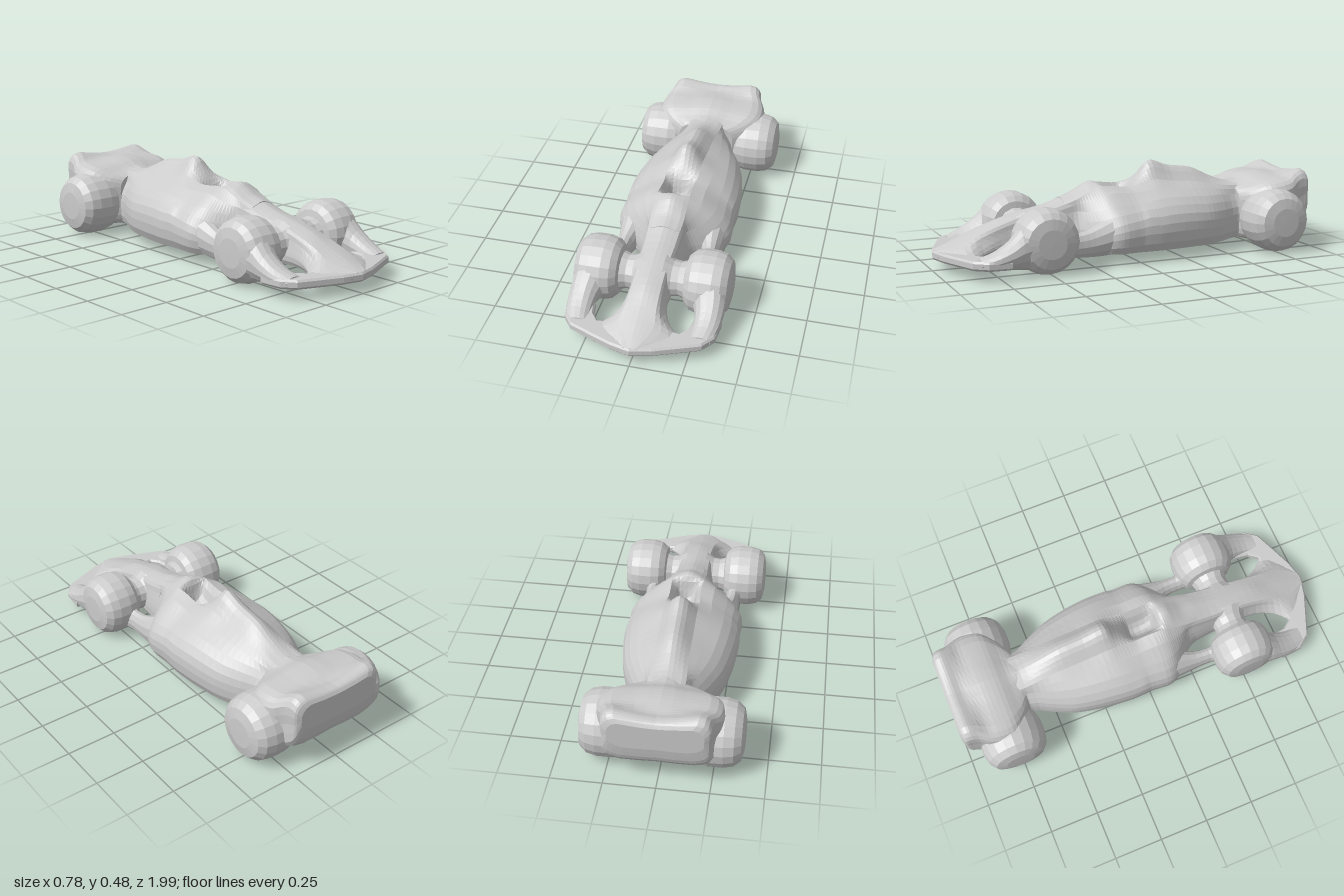
import * as THREE from 'three';

const material = new THREE.MeshStandardMaterial({ color: 0xcccccc, flatShading: true });

function addMesh(parent, name, geometry) {
  const mesh = new THREE.Mesh(geometry, material);
  mesh.name = name;
  parent.add(mesh);
  return mesh;
}

// Smooth closed skin through rings of points, ordered from +z to -z
function loft(rings, around, along) {
  const fine = rings.map((r) => {
    const curve = new THREE.CatmullRomCurve3(r, true);
    return Array.from({ length: around }, (_, j) => curve.getPoint(j / around));
  });
  const columns = Array.from({ length: around }, (_, j) =>
    new THREE.CatmullRomCurve3(fine.map((r) => r[j])));
  const pos = [], index = [];
  for (let i = 0; i <= along; i++)
    for (const c of columns) pos.push(...c.getPoint(i / along).toArray());
  for (let i = 0; i < along; i++)
    for (let j = 0; j < around; j++) {
      const k = (j + 1) % around;
      const a = i * around + j, b = i * around + k;
      index.push(a, a + around, b, b, a + around, b + around);
    }
  // End caps
  for (const end of [0, along]) {
    const mid = new THREE.Vector3();
    columns.forEach((c) => mid.addScaledVector(c.getPoint(end / along), 1 / around));
    const m = pos.length / 3;
    pos.push(mid.x, mid.y, mid.z);
    for (let j = 0; j < around; j++) {
      const a = end * around + j, b = end * around + (j + 1) % around;
      if (end === 0) index.push(m, a, b);
      else index.push(m, b, a);
    }
  }
  const g = new THREE.BufferGeometry();
  g.setAttribute('position', new THREE.Float32BufferAttribute(pos, 3));
  g.setIndex(index);
  g.computeVertexNormals();
  return g;
}

// Full ring from the right-hand half points plus bottom and top centres
function mirrorRing(z, y0, half, yTop) {
  const left = half.map(([x, y]) => new THREE.Vector3(x, y, z));
  const right = half.map(([x, y]) => new THREE.Vector3(-x, y, z)).reverse();
  return [new THREE.Vector3(0, y0, z), ...left, new THREE.Vector3(0, yTop, z), ...right];
}

// Body section: bottom, half width, side height, shoulder height, ridge half width, ridge height, centre height
function bodyRing([z, y0, w, side, shoulder, r, yr, yc]) {
  return mirrorRing(z, y0, [[w * 0.55, y0], [w * 0.9, y0 + 0.01], [w, (y0 + side) / 2 + 0.01], [w * 0.95, side],
    [Math.max(w * 0.72, r * 1.1), shoulder], [r, yr], [r * 0.5, yr + (yc - yr) * 0.65]], yc);
}

// Tail section: half width, bottom, top at the ends, top at the centre
function tailRing([z, w, y0, y1, yc]) {
  return mirrorRing(z, y0, [[w * 0.75, y0], [w * 0.98, y0 + 0.03], [w, (y0 + y1) / 2],
    [w, y1 - 0.04], [w * 0.85, y1], [w * 0.45, (y1 + yc) / 2]], yc);
}

// Rounded bar section: z, centre x, centre y, half width, half height
function barRing([z, cx, cy, hw, hh], s) {
  return Array.from({ length: 8 }, (_, i) => {
    const a = (i / 8) * Math.PI * 2 + Math.PI / 8;
    return new THREE.Vector3(s * cx + Math.cos(a) * hw * 1.05, cy + Math.sin(a) * hh * 1.05, z);
  });
}

// Fat tyre with rounded shoulders, axis along x
function wheelGeometry(radius, width) {
  const h = width / 2;
  const profile = [[0, -h], [0.45, -h * 0.99], [0.76, -h * 0.9], [0.93, -h * 0.65], [1, -h * 0.28],
    [1, h * 0.28], [0.93, h * 0.65], [0.76, h * 0.9], [0.45, h * 0.99], [0, h]]
    .map(([r, y]) => new THREE.Vector2(r * radius, y));
  return new THREE.LatheGeometry(profile, 20).rotateZ(-Math.PI / 2);
}

export function createModel() {
  const car = new THREE.Group();
  car.name = 'racingCar';

  // Main body with side pods, cockpit opening and engine cover
  const body = [
    [0.34, 0.045, 0.11, 0.17, 0.25, 0.08, 0.29, 0.32],
    [0.275, 0.045, 0.14, 0.17, 0.255, 0.085, 0.315, 0.34],
    [0.23, 0.045, 0.195, 0.165, 0.255, 0.085, 0.335, 0.365],
    [0.185, 0.045, 0.25, 0.175, 0.265, 0.085, 0.355, 0.39],
    [0.145, 0.045, 0.28, 0.19, 0.28, 0.085, 0.37, 0.385],
    [0.10, 0.045, 0.295, 0.205, 0.285, 0.08, 0.37, 0.26],
    [0.00, 0.045, 0.29, 0.22, 0.29, 0.08, 0.36, 0.24],
    [-0.04, 0.045, 0.293, 0.23, 0.295, 0.085, 0.365, 0.34],
    [-0.10, 0.045, 0.295, 0.23, 0.305, 0.085, 0.38, 0.42],
    [-0.155, 0.045, 0.292, 0.235, 0.31, 0.085, 0.39, 0.48],
    [-0.26, 0.045, 0.28, 0.235, 0.31, 0.085, 0.375, 0.45],
    [-0.40, 0.045, 0.25, 0.225, 0.30, 0.085, 0.365, 0.43],
    [-0.50, 0.045, 0.205, 0.22, 0.295, 0.085, 0.345, 0.385],
    [-0.60, 0.05, 0.155, 0.22, 0.285, 0.09, 0.33, 0.35],
    [-0.72, 0.06, 0.15, 0.22, 0.28, 0.09, 0.33, 0.35],
  ];
  addMesh(car, 'body', loft(body.map(bodyRing), 32, 46));

  // Nose sloping down onto the front wing
  const nose = [
    [0.985, 0.06, 0.06, 0.075, 0.09, 0.03, 0.10, 0.10],
    [0.87, 0.05, 0.21, 0.08, 0.105, 0.09, 0.13, 0.145],
    [0.78, 0.055, 0.14, 0.10, 0.14, 0.08, 0.17, 0.18],
    [0.68, 0.06, 0.10, 0.13, 0.175, 0.075, 0.205, 0.225],
    [0.55, 0.06, 0.10, 0.15, 0.21, 0.075, 0.245, 0.26],
    [0.42, 0.05, 0.105, 0.17, 0.23, 0.08, 0.265, 0.29],
    [0.30, 0.045, 0.12, 0.18, 0.26, 0.085, 0.30, 0.33],
  ];
  addMesh(car, 'nose', loft(nose.map(bodyRing), 26, 18));

  // Front wing, bowed forward with arms reaching back
  const edge = [[0.1, 0.965], [0.2, 0.925], [0.31, 0.88], [0.355, 0.82], [0.365, 0.72], [0.25, 0.72],
    [0.238, 0.79], [0.2, 0.84], [0.15, 0.835], [0.1, 0.75]];
  const outline = [[0, 0.99], ...edge, ...edge.map(([x, z]) => [-x, z]).reverse()]
    .map(([x, z]) => new THREE.Vector2(x, z));
  const wing = new THREE.ExtrudeGeometry(new THREE.Shape(outline),
    { depth: 0.025, bevelThickness: 0.01, bevelSize: 0.008, bevelSegments: 1 });
  wing.rotateX(Math.PI / 2).translate(0, 0.09, 0);
  addMesh(car, 'frontWing', wing);

  for (const s of [1, -1]) {
    const side = s > 0 ? 'left' : 'right';

    const front = addMesh(car, side + 'FrontWheel', wheelGeometry(0.16, 0.23));
    front.position.set(s * 0.27, 0.16, 0.515);
    const rear = addMesh(car, side + 'RearWheel', wheelGeometry(0.165, 0.26));
    rear.position.set(s * 0.26, 0.165, -0.762);

    // Low wing end swelling back into the front wheel
    const plate = [[0.85, 0.295, 0.08, 0.05, 0.025], [0.78, 0.308, 0.09, 0.058, 0.042],
      [0.7, 0.308, 0.115, 0.066, 0.068], [0.64, 0.295, 0.14, 0.08, 0.1], [0.56, 0.28, 0.15, 0.09, 0.12]];
    addMesh(car, side + 'WingEnd', loft(plate.map((p) => barRing(p, s)), 14, 10));

    // Link between side pod and front wheel, blended into both
    const link = [[0.46, 0.24, 0.13, 0.07, 0.09], [0.37, 0.222, 0.11, 0.037, 0.06],
      [0.28, 0.218, 0.112, 0.038, 0.065], [0.21, 0.208, 0.125, 0.055, 0.08],
      [0.13, 0.2, 0.145, 0.07, 0.095], [0.04, 0.19, 0.15, 0.06, 0.09]];
    addMesh(car, side + 'PodLink', loft(link.map((p) => barRing(p, s)), 12, 12));

    // Front suspension, flared where it meets nose and wheel
    const flare = [[0.115, -0.075], [0.09, -0.035], [0.085, 0], [0.095, 0.03], [0.13, 0.07]]
      .map(([r, y]) => new THREE.Vector2(r, y));
    const arm = new THREE.LatheGeometry(flare, 14).rotateZ(-s * Math.PI / 2);
    addMesh(car, side + 'FrontSuspension', arm).position.set(s * 0.13, 0.155, 0.515);
  }

  // Rear housing, blended over the wheels and rising into the rear wing
  const tail = [
    [-0.62, 0.15, 0.06, 0.30, 0.35],
    [-0.67, 0.23, 0.05, 0.32, 0.355],
    [-0.73, 0.285, 0.042, 0.348, 0.38],
    [-0.8, 0.295, 0.042, 0.362, 0.39],
    [-0.86, 0.285, 0.06, 0.372, 0.385],
    [-0.91, 0.258, 0.1, 0.4, 0.38],
    [-0.95, 0.25, 0.125, 0.413, 0.39],
    [-0.98, 0.245, 0.165, 0.4, 0.385],
    [-0.995, 0.22, 0.24, 0.375, 0.365],
  ];
  addMesh(car, 'rearWingAndHousing', loft(tail.map(tailRing), 32, 22));

  return car;
}
